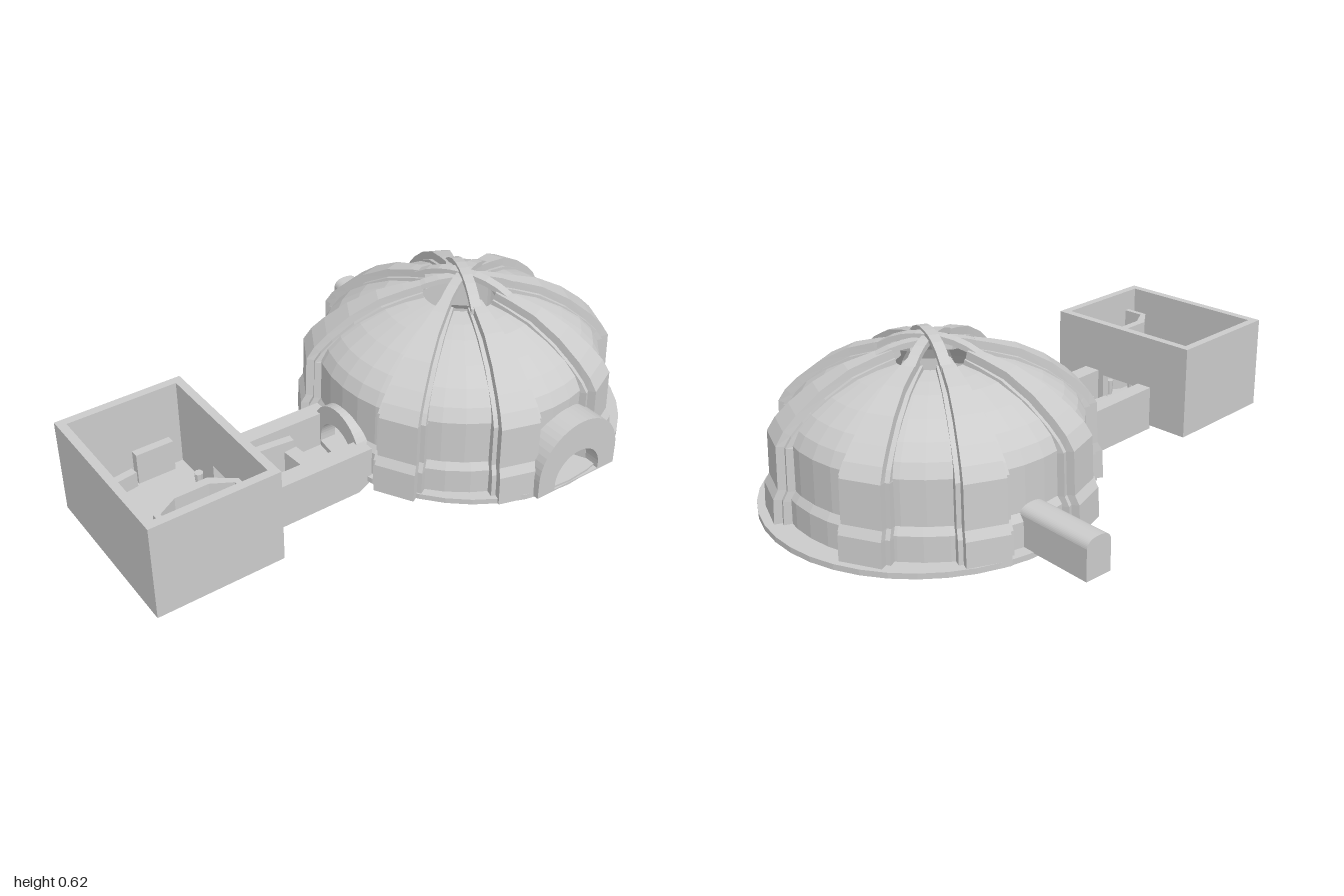
import * as THREE from 'three';

const mat = new THREE.MeshStandardMaterial({ color: 0xcccccc, flatShading: true, side: THREE.DoubleSide });
const rad = THREE.MathUtils.degToRad;

function add(parent, name, geo, x = 0, y = 0, z = 0, ry = 0) {
  const m = new THREE.Mesh(geo, mat);
  m.name = name;
  m.position.set(x, y, z);
  m.rotation.y = ry;
  parent.add(m);
  return m;
}

const box = (parent, name, w, h, d, x, y, z, ry = 0) =>
  add(parent, name, new THREE.BoxGeometry(w, h, d), x, y + h / 2, z, ry);

const shapeOf = pts => new THREE.Shape(pts.map(p => new THREE.Vector2(...p)));
const extrude = (shape, depth) =>
  new THREE.ExtrudeGeometry(shape, { depth, bevelEnabled: false, curveSegments: 12 });

// Prism standing on y0 from a floor outline of [x, z] points
function plan(parent, name, pts, y0, h) {
  const g = extrude(shapeOf(pts.map(([x, z]) => [x, -z])), h).rotateX(-Math.PI / 2);
  return add(parent, name, g, 0, y0, 0);
}

// Prism along x from a side outline of [z, y] points
function side(parent, name, shape, x0, x1) {
  return add(parent, name, extrude(shape, x1 - x0).rotateY(-Math.PI / 2), x1);
}

// Round-topped outline
function archShape(half, y0, top) {
  const s = new THREE.Shape();
  s.moveTo(-half, y0);
  s.lineTo(half, y0);
  s.lineTo(half, top - half);
  s.absarc(0, top - half, half, 0, Math.PI, false);
  s.lineTo(-half, y0);
  return s;
}

// Tapering stepped rib swept up a profile of [radius, height] points
function ribGeometry(profile) {
  const rings = profile.map(([r, y], i) => {
    const a = profile[Math.max(i - 1, 0)], b = profile[Math.min(i + 1, profile.length - 1)];
    const n = new THREE.Vector2(b[1] - a[1], a[0] - b[0]).normalize();
    const w = 0.006 + r * 0.145, s = w - Math.min(0.016, w * 0.3);
    return [[-w, -0.07], [-w, -0.028], [-s, -0.028], [-s, 0], [s, 0], [s, -0.028], [w, -0.028], [w, -0.07]]
      .map(([z, d]) => [r + n.x * d, Math.max(y + n.y * d, 0.035), z]);
  });
  const pos = [], idx = [], k = 8;
  rings.forEach(ring => ring.forEach(p => pos.push(...p)));
  for (let i = 0; i < rings.length - 1; i++)
    for (let j = 0; j < k; j++) {
      const a = i * k + j, b = i * k + (j + 1) % k;
      idx.push(a, b, a + k, b, b + k, a + k);
    }
  // End caps as fans around the middle of the inner edge
  [0, rings.length - 1].forEach((e, c) => {
    const p = rings[e][0], centre = pos.length / 3;
    pos.push(p[0], p[1], 0);
    for (let j = 0; j < k; j++) {
      const a = e * k + j, b = e * k + (j + 1) % k;
      idx.push(centre, c ? a : b, c ? b : a);
    }
  });
  const g = new THREE.BufferGeometry();
  g.setAttribute('position', new THREE.Float32BufferAttribute(pos, 3));
  g.setIndex(idx);
  g.computeVertexNormals();
  return g;
}

function buildDome() {
  const g = new THREE.Group();
  g.name = 'dome';
  g.position.set(0.1, 0, -0.4);
  const v = pts => pts.map(p => new THREE.Vector2(...p));

  // Lower wall, interrupted at the front passage, right door and left tunnel
  const gaps = [[0, 10], [96, 11.5], [264.5, 5], [360, 10]];
  for (let i = 0; i < 3; i++) {
    const from = gaps[i][0] + gaps[i][1], to = gaps[i + 1][0] - gaps[i + 1][1];
    add(g, 'lowerWall', new THREE.LatheGeometry(v([[0.522, 0.045], [0.52, 0.14], [0.503, 0.165]]),
      Math.round((to - from) / 9), rad(from), rad(to - from)));
  }
  // Shell with an open crown
  add(g, 'shell', new THREE.LatheGeometry(v([[0.503, 0.165], [0.5, 0.32], [0.475, 0.365], [0.43, 0.41],
    [0.36, 0.455], [0.27, 0.495], [0.2, 0.512], [0.13, 0.522]]), 40));

  // Eight raised ribs
  const rib = ribGeometry([[0.57, 0.035], [0.565, 0.14], [0.548, 0.17], [0.543, 0.32], [0.515, 0.365],
    [0.47, 0.41], [0.39, 0.473], [0.29, 0.527], [0.2, 0.553], [0.14, 0.567]]);
  for (const a of [17, 60, -26, -66])
    for (const b of [a, 180 - a]) add(g, 'rib', rib, 0, 0, 0, -rad(b));

  // Crossing arches over the crown
  [[25, 0.615], [62, 0.6], [118, 0.59], [155, 0.605]].forEach(([a, top]) => {
    const upper = [], lower = [];
    for (let i = 0; i <= 8; i++) {
      const x = -0.18 + 0.045 * i, y = 0.555 + (top - 0.555) * (1 - Math.pow(Math.abs(x) / 0.18, 2.4));
      upper.push([x, y]);
      lower.unshift([x, y - 0.02]);
    }
    add(g, 'crownArch', extrude(shapeOf([...upper, ...lower]), 0.036).translate(0, 0, -0.018),
      0, 0, -0.012, -rad(a));
  });
  return g;
}

function buildFurniture() {
  const g = new THREE.Group();
  g.name = 'furniture';
  // Front room: tall wrap-around counter, bent bench, shelf and stools
  plan(g, 'counter', [[0.37, 0.62], [0.28, 0.62], [0.22, 0.7], [0.22, 0.84], [0.28, 0.92], [0.37, 0.92],
    [0.37, 0.9], [0.29, 0.9], [0.25, 0.83], [0.25, 0.71], [0.29, 0.64], [0.37, 0.64]], 0.04, 0.25);
  box(g, 'shelf', 0.03, 0.12, 0.14, -0.175, 0.04, 0.69);
  box(g, 'bench', 0.03, 0.06, 0.15, -0.155, 0.04, 0.845, 0.14);
  box(g, 'bench', 0.14, 0.06, 0.03, -0.07, 0.04, 0.925, 0.14);
  for (const [x, z] of [[0.22, 0.63], [0.2, 0.74], [0.2, 0.79], [0.25, 0.93], [-0.03, 0.6]]) {
    add(g, 'stool', new THREE.CylinderGeometry(0.016, 0.012, 0.06, 8), x, 0.07, z);
  }
  // Passage: cabinet, table and seats
  box(g, 'cabinet', 0.03, 0.12, 0.13, 0.04, 0.03, 0.34, -0.1);
  box(g, 'table', 0.1, 0.09, 0.05, 0.115, 0.03, 0.29, 0.08);
  for (const [x, z] of [[0.17, 0.19], [0.17, 0.3], [0.17, 0.46], [0.08, 0.42]])
    box(g, 'seat', 0.02, 0.06, 0.025, x, 0.03, z, 0.3);
  // Dome hall: central table with stools
  add(g, 'tableTop', new THREE.CylinderGeometry(0.07, 0.07, 0.012, 12), 0.2, 0.105, -0.45);
  add(g, 'tableLeg', new THREE.CylinderGeometry(0.03, 0.04, 0.055, 8), 0.2, 0.077, -0.45);
  for (let i = 0; i < 6; i++) {
    const a = i * Math.PI / 3;
    box(g, 'stool', 0.025, 0.05, 0.025, 0.2 + 0.11 * Math.cos(a), 0.05, -0.45 + 0.11 * Math.sin(a), -a);
  }
  return g;
}

export function createModel() {
  const model = new THREE.Group();
  model.name = 'domeBuilding';

  add(model, 'baseDisc', new THREE.CylinderGeometry(0.57, 0.57, 0.02, 40), 0.11, 0.043, -0.43);
  model.add(buildDome());

  // Right door surround
  const door = archShape(0.175, 0.04, 0.285);
  door.holes.push(archShape(0.1, 0.045, 0.165));
  side(model, 'doorSurround', door, 0.57, 0.682).position.z = -0.46;

  // Front door surround above the passage
  const hood = archShape(0.135, 0.035, 0.235);
  hood.holes.push(archShape(0.095, 0.04, 0.165));
  add(model, 'passageArch', extrude(hood, 0.06), 0.105, 0, 0.07);

  // Left tunnel with a rounded roof
  const tunnel = new THREE.Shape();
  tunnel.moveTo(-0.05, 0.05);
  tunnel.lineTo(0.05, 0.05);
  tunnel.lineTo(0.05, 0.16);
  tunnel.quadraticCurveTo(0.045, 0.19, 0, 0.19);
  tunnel.quadraticCurveTo(-0.045, 0.19, -0.05, 0.16);
  const t = side(model, 'tunnel', tunnel, 0, 0.32);
  t.position.set(-0.37, 0, -0.448);
  t.rotation.y = -0.07;

  // Open-topped passage between dome and front room
  const wall = shapeOf([[0.55, 0], [0.15, 0], [0.1, 0.03], [0.1, 0.165], [0.55, 0.17]]);
  side(model, 'passageWall', wall, -0.055, 0.005);
  side(model, 'passageWall', wall, 0.205, 0.27);
  side(model, 'passageFloor', shapeOf([[0.55, 0.008], [0.15, 0.008], [0.1, 0.03], [0.55, 0.03]]), 0.005, 0.205);

  // Open-topped front room
  box(model, 'roomFloor', 0.6, 0.02, 0.43, 0.095, 0.021, 0.772);
  box(model, 'roomFrontWall', 0.63, 0.35, 0.03, 0.095, 0.015, 0.985);
  for (const x of [-0.205, 0.395]) box(model, 'roomSideWall', 0.03, 0.35, 0.425, x, 0.015, 0.7575);
  const back = shapeOf([[-0.22, 0.015], [0.41, 0.015], [0.41, 0.365], [-0.22, 0.365]]);
  back.holes.push(shapeOf([[0.03, 0.04], [0.03, 0.155], [0.18, 0.155], [0.18, 0.04]]));
  add(model, 'roomBackWall', extrude(back, 0.03), 0, 0, 0.545);

  model.add(buildFurniture());
  return model;
}
